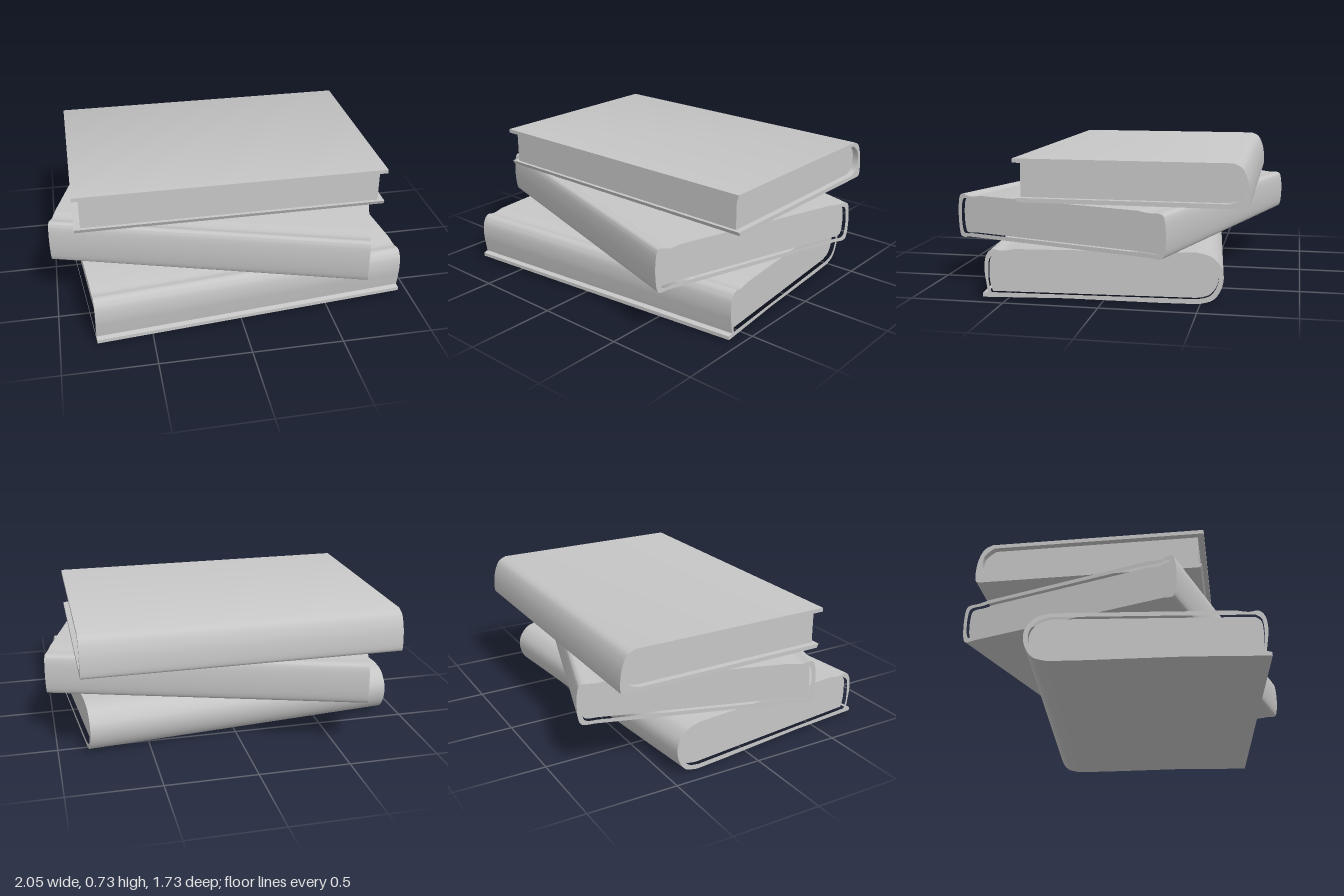
import * as THREE from 'three';
import { toCreasedNormals } from 'three/addons/utils/BufferGeometryUtils.js';

const grey = new THREE.MeshStandardMaterial({ color: 0xc6c6c6 });
grey.name = 'plain grey';

const vec = ([u, v]) => new THREE.Vector2(u, v);

// Joins runs of points into one outline; runs of three or more become smooth curves
function outline(runs) {
  return runs.flatMap((run) => run.length < 3
    ? run.map(vec)
    : new THREE.SplineCurve(run.map(vec)).getPoints((run.length - 1) * 5));
}

// Shrinks an outline about its middle by a wall thickness
function inset(points, wall) {
  const box = new THREE.Box2().setFromPoints(points);
  const mid = box.getCenter(new THREE.Vector2());
  const size = box.getSize(new THREE.Vector2());
  const su = 1 - 2 * wall / size.x, sv = 1 - 2 * wall / size.y;
  return points.map((p) => new THREE.Vector2(mid.x + (p.x - mid.x) * su, mid.y + (p.y - mid.y) * sv));
}

// Runs a section (u = towards the back, v = up) along x
function bar(name, points, width, hole) {
  const shape = new THREE.Shape(points);
  if (hole) shape.holes.push(new THREE.Path(hole));
  const geo = new THREE.ExtrudeGeometry(shape, { depth: width, bevelEnabled: false });
  geo.translate(0, 0, -width / 2);
  geo.rotateY(Math.PI / 2);
  const mesh = new THREE.Mesh(toCreasedNormals(geo, 0.6), grey);
  mesh.name = name;
  return mesh;
}

// Book whose cover wraps all the way round its pages
function wrappedBook(name, section, pageSection, width, recess) {
  const book = new THREE.Group();
  book.name = name;
  book.add(bar(name + 'Cover', section, width, pageSection));
  book.add(bar(name + 'Pages', pageSection, width - 2 * recess));
  return book;
}

export function createModel() {
  const model = new THREE.Group();
  model.name = 'bookStack';

  // Bottom book: round spine at the back, lipped lower board at the front
  const bottomSection = outline([
    [[-0.632, 0.014], [-0.632, 0.034]],
    [[-0.604, 0.04], [-0.612, 0.09], [-0.62, 0.16], [-0.612, 0.23], [-0.58, 0.268], [-0.525, 0.262], [-0.46, 0.272]],
    [[0.48, 0.272], [0.555, 0.25], [0.605, 0.195], [0.617, 0.135], [0.6, 0.07], [0.56, 0.022], [0.49, 0.002]],
    [[0.3, 0.004], [-0.2, 0.016]],
  ]);
  const bottomPages = outline([
    [[-0.585, 0.04], [-0.598, 0.09], [-0.6, 0.16], [-0.592, 0.22], [-0.56, 0.246]],
    [[0.48, 0.25], [0.54, 0.23], [0.58, 0.185], [0.592, 0.135], [0.576, 0.08], [0.54, 0.042], [0.48, 0.028]],
  ]);
  const bottom = wrappedBook('bottomBook', bottomSection, bottomPages, 1.755, 0.025);
  bottom.position.set(0.012, 0, 0.08);
  bottom.rotation.y = 0.095;
  model.add(bottom);

  // Middle book: nearly square edges with hinge grooves on its boards
  const middleSection = outline([
    [[-0.56, 0.274], [-0.61, 0.27], [-0.627, 0.3], [-0.634, 0.39], [-0.627, 0.48], [-0.605, 0.51], [-0.55, 0.498], [-0.48, 0.506]],
    [[0.48, 0.505], [0.54, 0.498], [0.605, 0.498], [0.627, 0.47], [0.634, 0.385], [0.627, 0.3], [0.605, 0.272], [0.55, 0.274]],
  ]);
  const middle = wrappedBook('middleBook', middleSection, inset(middleSection, 0.022), 1.75, 0.025);
  middle.position.set(0.012, 0, -0.005);
  middle.rotation.y = -0.302;
  model.add(middle);

  // Top book: open front, boards joined by a rounded spine at the back
  const inner = [[0.64, 0.53], [0.69, 0.55], [0.712, 0.605], [0.7, 0.67], [0.65, 0.713]];
  const topSection = outline([
    [[-0.478, 0.713], [-0.478, 0.735]],
    [[0.66, 0.735], [0.705, 0.71], [0.733, 0.65], [0.744, 0.58], [0.742, 0.52], [0.72, 0.506]],
    [[-0.455, 0.508], [-0.465, 0.53]],
    inner,
  ]);
  const topPages = outline([[[-0.445, 0.713], [-0.445, 0.53]], inner]);
  const top = new THREE.Group();
  top.name = 'topBook';
  top.add(bar('topBookCover', topSection, 1.744));
  top.add(bar('topBookPages', topPages, 1.675));
  model.add(top);

  return model;
}
